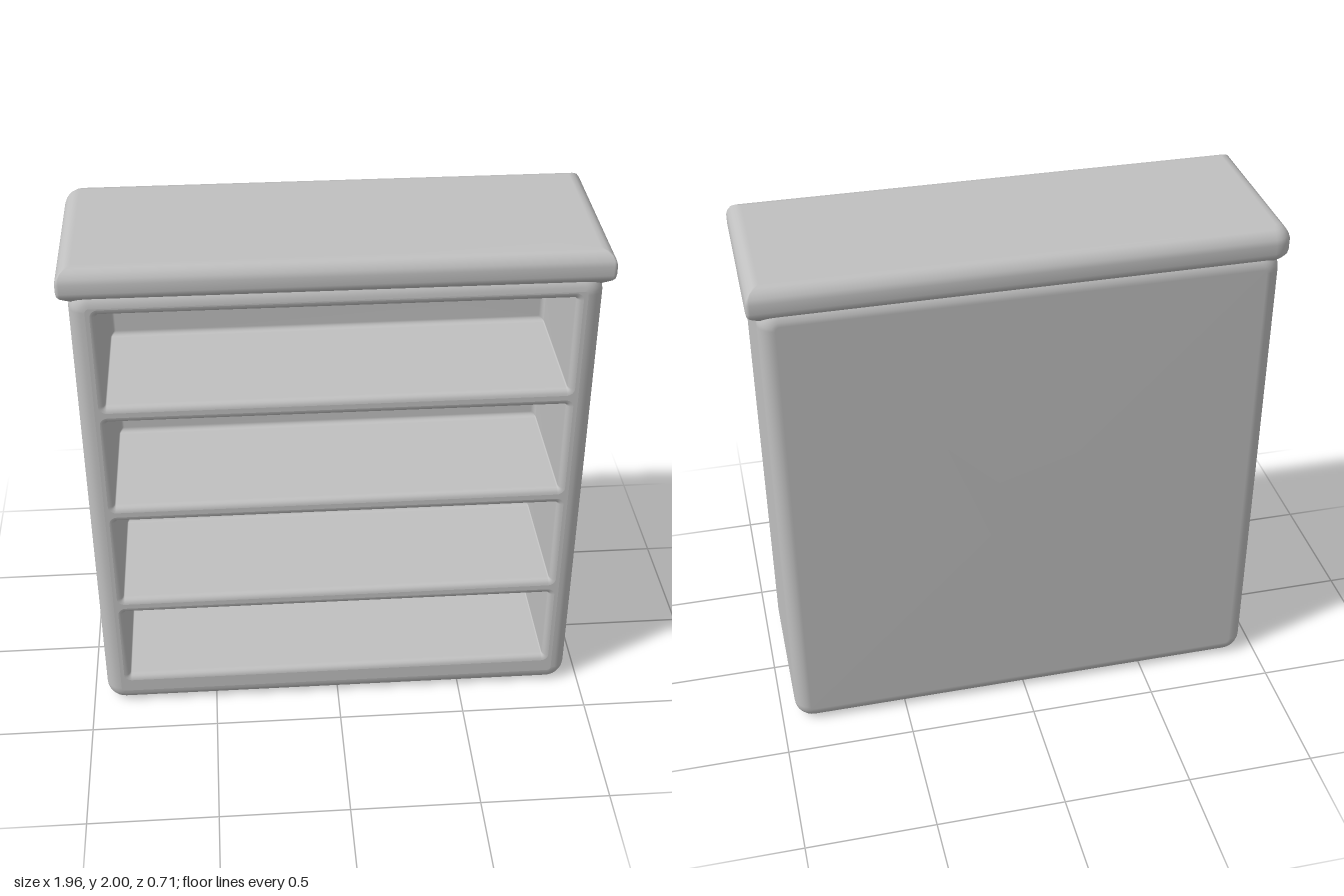
import * as THREE from 'three';

const SEG = 6; // segments per rounded corner

// Rounded rectangle, counter-clockwise. radii: [x1y1, x0y1, x0y0, x1y0]
function ring({ x0, x1, y0, y1, radii }, inset, z) {
  const pts = [];
  const corners = [[x1, y1, -1, -1], [x0, y1, 1, -1], [x0, y0, 1, 1], [x1, y0, -1, 1]];
  corners.forEach(([x, y, sx, sy], c) => {
    const r = Math.max(radii[c] - inset, 0.004);
    const cx = x + sx * (inset + r), cy = y + sy * (inset + r);
    for (let i = 0; i <= SEG; i++) {
      const a = (c + i / SEG) * Math.PI / 2;
      pts.push(new THREE.Vector3(cx + r * Math.cos(a), cy + r * Math.sin(a), z));
    }
  });
  return pts;
}

// Skin a list of equal rings, optionally closing the first and last
function loft(rings, capStart, capEnd) {
  const n = rings[0].length, pts = rings.flat(), index = [];
  for (let i = 0; i < rings.length - 1; i++) {
    for (let j = 0; j < n; j++) {
      const k = (j + 1) % n, a = i * n, b = a + n;
      index.push(a + j, a + k, b + k, a + j, b + k, b + j);
    }
  }
  const cap = (r, flip) => {
    const base = r * n, c = pts.length;
    const mid = new THREE.Vector3();
    rings[r].forEach((p) => mid.addScaledVector(p, 1 / n));
    pts.push(mid);
    for (let j = 0; j < n; j++) {
      const k = (j + 1) % n;
      index.push(c, base + (flip ? k : j), base + (flip ? j : k));
    }
  };
  if (capStart) cap(0, true);
  if (capEnd) cap(rings.length - 1, false);
  const g = new THREE.BufferGeometry().setFromPoints(pts);
  g.setIndex(index);
  g.computeVertexNormals();
  return g;
}

export function createModel() {
  const group = new THREE.Group();
  const paint = new THREE.MeshStandardMaterial({ color: 0xc0c0c0 });
  paint.name = 'plain grey';
  const add = (name, geometry) => {
    const mesh = new THREE.Mesh(geometry, paint);
    mesh.name = name;
    group.add(mesh);
    return mesh;
  };

  // Outer carcass: back, sides, bottom and rounded edges
  const R = 0.06, FRONT = 0.345;
  const body = { x0: -0.945, x1: 0.945, y0: 0, y1: 1.91, radii: [0.075, 0.075, 0.075, 0.075] };
  const shell = [];
  for (let i = 0; i <= SEG; i++) {
    const a = i / SEG * Math.PI / 2;
    shell.push(ring(body, R * (1 - Math.sin(a)), -FRONT + R * (1 - Math.cos(a))));
  }
  for (let i = SEG; i >= 0; i--) {
    const a = i / SEG * Math.PI / 2;
    shell.push(ring(body, R * (1 - Math.sin(a)), FRONT - R * (1 - Math.cos(a))));
  }
  add('carcass', loft(shell, true, false));

  // Front face with four openings, each with a rounded lip and a coved recess
  const LIP = 0.025, COVE = 0.02, BACK = -0.17;
  const face = new THREE.Shape(ring(body, R, 0));
  const openings = [[0.14, 0.47], [0.54, 0.92], [0.99, 1.37], [1.44, 1.82]];
  openings.forEach(([y0, y1], n) => {
    const hole = { x0: -0.845, x1: 0.845, y0, y1, radii: [0.005, 0.005, 0.005, 0.005] };
    face.holes.push(new THREE.Path(ring(hole, -LIP, 0).reverse()));
    const lip = [], cove = [];
    for (let i = 0; i <= 4; i++) {
      const a = i / 4 * Math.PI / 2;
      lip.push(ring(hole, -LIP * (1 - Math.sin(a)), FRONT - LIP * (1 - Math.cos(a))));
      cove.push(ring(hole, COVE * (1 - Math.cos(a)), BACK + COVE * (1 - Math.sin(a))));
    }
    add('compartment' + (n + 1), loft([...lip, ...cove], false, true));
  });
  add('frontFrame', new THREE.ShapeGeometry(face)).position.z = FRONT;

  // Overhanging top board: [inset, height], one back corner more rounded
  const board = { x0: -0.98, x1: 0.98, y0: -0.353, y1: 0.353, radii: [0.015, 0.07, 0.015, 0.015] };
  const profile = [[0.045, 1.862], [0.012, 1.89], [0.003, 1.9], [0, 1.915], [0, 1.95],
    [0.006, 1.968], [0.018, 1.985], [0.034, 1.996], [0.055, 2]];
  const top = loft(profile.map(([inset, y]) => ring(board, inset, y)), true, true);
  top.rotateX(-Math.PI / 2);
  add('topBoard', top);

  return group;
}
